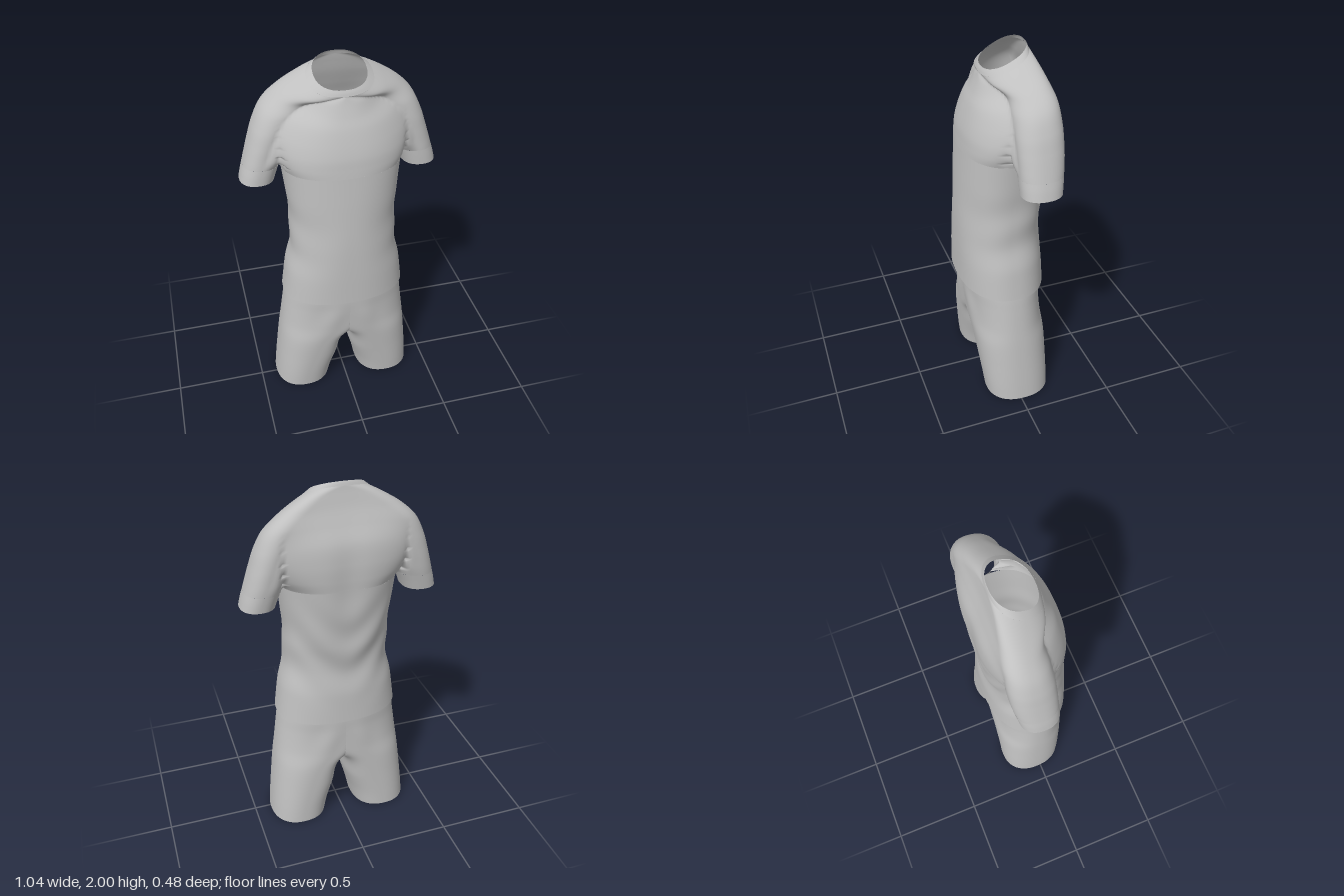
import * as THREE from 'three';

const fabric = new THREE.MeshStandardMaterial({ color: 0xc0c0c0, side: THREE.DoubleSide });
fabric.name = 'grey fabric';

const SEG = 144; // points around each ring
const POWER = 2.3; // roundness of the cross-sections
const { lerp, clamp } = THREE.MathUtils;
const spow = (v, e) => Math.sign(v) * Math.pow(Math.abs(v), e);
const bump = (v, c, w) => Math.exp(-(((v - c) / w) ** 2));
// Half height of a unit superellipse at u
const dome = u => Math.pow(Math.max(0, 1 - Math.pow(Math.abs(u), POWER)), 1 / POWER);

// Catmull-Rom blend through rows of numbers
function sampleRows(rows, t) {
  const f = t * (rows.length - 1);
  const i = Math.min(Math.floor(f), rows.length - 2);
  const u = f - i;
  const at = k => rows[clamp(k, 0, rows.length - 1)];
  return rows[i].map((p1, c) => {
    const p0 = at(i - 1)[c], p2 = at(i + 1)[c], p3 = at(i + 2)[c];
    return 0.5 * (2 * p1 + (p2 - p0) * u + (2 * p0 - 5 * p1 + 4 * p2 - p3) * u * u
      + (3 * p1 - p0 - 3 * p2 + p3) * u * u * u);
  });
}

// Oval ring; row: y, centre x, inner x, outer x, front z, back z, tilt, inner power
function ovalRing([y, cx, xi, xo, zf, zb, tilt, innerPower], c, s) {
  const e = 2 / (c < 0 ? innerPower : POWER);
  const x = cx + spow(c, e) * (c > 0 ? xo - cx : cx - xi);
  const dz = spow(s, e) * (zf - zb) / 2;
  return new THREE.Vector3(x, y - tilt * dz, (zf + zb) / 2 + dz);
}

// Chest and both upper arms in one ring, pinched at the armpits by p;
// row: y, chest front z, back z, armpit x, arm centre x, outer x, arm front z, back z, tilt, p
function yokeRing([y, zf, zb, xj, ax, xo, sf, sb, tilt, p], c, s) {
  const x = xo * Math.abs(c);
  const arm = Math.max(ax, 0.001), pinch = clamp(p, 0, 1);
  const bodyC = (zf + zb) / 2, bodyH = (zf - zb) / 2;
  const armC = (sf + sb) / 2, armH = (sf - sb) / 2;
  const m = Math.min(1, Math.pow(x / arm, 2.5));
  const cap = x > arm ? dome((x - arm) / (xo - arm)) : 1;
  const inBody = x < xj;
  const sleeveU = (2 * x - xj - xo) / (xo - xj);
  const splitH = inBody ? bodyH * dome(x / xj) : armH * dome(sleeveU);
  const mid = lerp(lerp(bodyC, armC, m), inBody ? bodyC : armC, pinch);
  const half = lerp(lerp(bodyH, armH, m) * cap, splitH, pinch);
  const z = mid + (Math.abs(s) < 1e-9 ? 0 : Math.sign(s)) * half;
  return new THREE.Vector3(xo * c, y + tilt * (bodyC - z), z);
}

// Skin stretched over rings that climb through the rows
function skin(name, rows, ring, { steps = 50, side = 1, fold, keep } = {}) {
  const pts = [], idx = [];
  for (let i = 0; i <= steps; i++) {
    const row = sampleRows(rows, i / steps);
    for (let j = 0; j < SEG; j++) {
      const a = (j / SEG) * Math.PI * 2;
      const c = Math.abs(Math.cos(a)) < 1e-9 ? 0 : Math.cos(a);
      const p = ring(row, c, Math.sin(a));
      if (fold) fold(p);
      pts.push(p);
    }
  }
  for (let i = 0; i < steps; i++) {
    for (let j = 0; j < SEG; j++) {
      const a = i * SEG + j, b = i * SEG + (j + 1) % SEG, c = a + SEG, d = b + SEG;
      if (keep && ![a, b, c, d].some(k => keep(pts[k]))) continue;
      if (side > 0) idx.push(a, c, b, b, c, d);
      else idx.push(a, b, c, b, d, c);
    }
  }
  for (const p of pts) p.x *= side;
  const g = new THREE.BufferGeometry().setFromPoints(pts);
  g.setIndex(idx);
  g.computeVertexNormals();
  const mesh = new THREE.Mesh(g, fabric);
  mesh.name = name;
  return mesh;
}

// Symmetric torso ring
const body = (y, hw, zf, zb, tilt = 0) => [y, 0, -hw, hw, zf, zb, tilt, POWER];

// Draped folds on the back, hollow spine, creased waist, soft front drape
function shirtFold(p) {
  const ax = Math.sqrt(p.x * p.x + 0.006);
  const back = clamp((-p.z - 0.03) / 0.15, 0, 1);
  const front = clamp((p.z - 0.03) / 0.15, 0, 1);
  p.z += 0.006 * back * Math.sin(24 * (p.y - 1.4 * ax)) * bump(p.y, 1.15, 0.22);
  p.z += 0.013 * back * bump(p.x, 0, 0.08) * bump(p.y, 1.5, 0.24);
  p.z += 0.004 * front * Math.cos(16 * ax + 5 * p.y) * bump(p.y, 1.1, 0.25);
  p.x += 0.013 * p.x * Math.sin(24 * p.y + 8 * p.z) * bump(p.y, 1.1, 0.2);
}

// Gathers beside the crotch
function shortsFold(p) {
  p.x = Math.max(0, p.x);
  const w = bump(p.y, 0.55, 0.1) * bump(p.x, 0.1, 0.1);
  p.z += 0.005 * clamp(p.z / 0.1, -1, 1) * w * Math.sin(26 * p.x + 10 * p.y);
}

export function createModel() {
  const model = new THREE.Group();
  model.name = 'sportsKit';

  const shirt = new THREE.Group();
  shirt.name = 'shirt';
  shirt.add(skin('shirtBody', [
    body(0.69, 0.34, 0.245, -0.22, -0.02),
    body(0.85, 0.318, 0.243, -0.212),
    body(1.0, 0.288, 0.238, -0.198),
    body(1.16, 0.282, 0.232, -0.212),
    body(1.32, 0.292, 0.225, -0.228),
    body(1.48, 0.31, 0.213, -0.238),
  ], ovalRing, { steps: 70, fold: shirtFold }));

  shirt.add(skin('shoulders', [
    [1.48, 0.213, -0.238, 0.31, 0.405, 0.497, 0.041, -0.178, 0, 1],
    [1.53, 0.208, -0.24, 0.315, 0.385, 0.482, 0.041, -0.184, 0.03, 0.5],
    [1.6, 0.2, -0.238, 0.32, 0.36, 0.46, 0.042, -0.19, 0.09, 0.2],
    [1.68, 0.183, -0.225, 0.32, 0.325, 0.432, 0.042, -0.192, 0.17, 0.06],
    [1.76, 0.16, -0.19, 0.32, 0.275, 0.388, 0.036, -0.185, 0.26, 0],
    [1.825, 0.135, -0.163, 0.3, 0.195, 0.315, 0.035, -0.165, 0.36, 0],
    [1.885, 0.113, -0.146, 0.3, 0.1, 0.225, 0.08, -0.146, 0.45, 0],
    [1.922, 0.1, -0.138, 0.3, 0, 0.165, 0.1, -0.138, 0.49, 0],
  ], yokeRing, { steps: 70, fold: shirtFold }));

  shirt.add(skin('collar', [
    body(1.922, 0.165, 0.1, -0.138, 0.49),
    body(1.936, 0.146, 0.095, -0.134, 0.5),
    body(1.947, 0.132, 0.088, -0.13, 0.5),
  ], ovalRing, { steps: 8 }));

  const sleeveRows = [
    [1.395, 0.43, 0.34, 0.52, 0.04, -0.165, 0, POWER],
    [1.44, 0.417, 0.325, 0.509, 0.041, -0.172, 0, POWER],
    [1.48, 0.4035, 0.31, 0.497, 0.041, -0.178, 0, POWER],
  ];

  // Each half of the shorts: a trouser leg that opens into the seat at x = 0
  const legRows = [
    [0.005, 0.25, 0.09, 0.408, 0.16, -0.2, -0.01, 2.4],
    [0.1, 0.236, 0.07, 0.4, 0.17, -0.2, 0, 2.5],
    [0.22, 0.205, 0.038, 0.388, 0.182, -0.2, 0, 2.8],
    [0.37, 0.15, 0.006, 0.372, 0.197, -0.2, 0, 3.3],
    [0.48, 0.05, -0.15, 0.358, 0.206, -0.199, 0, 3],
    [0.6, 0, -0.28, 0.342, 0.213, -0.198, 0, 2.4],
    [0.7, 0, -0.33, 0.327, 0.216, -0.198, 0, 2.3],
    [0.82, 0, -0.3, 0.3, 0.208, -0.185, 0, 2.3],
    [0.93, 0, -0.27, 0.272, 0.195, -0.17, 0, 2.3],
  ];

  const shorts = new THREE.Group();
  shorts.name = 'shorts';
  for (const side of [1, -1]) {
    const label = side > 0 ? 'left' : 'right';
    shirt.add(skin(label + 'Sleeve', sleeveRows, ovalRing, { side, steps: 12 }));
    shorts.add(skin(label + 'ShortsLeg', legRows, ovalRing,
      { side, steps: 64, fold: shortsFold, keep: p => p.x > 1e-6 }));
  }

  model.add(shirt, shorts);
  return model;
}
